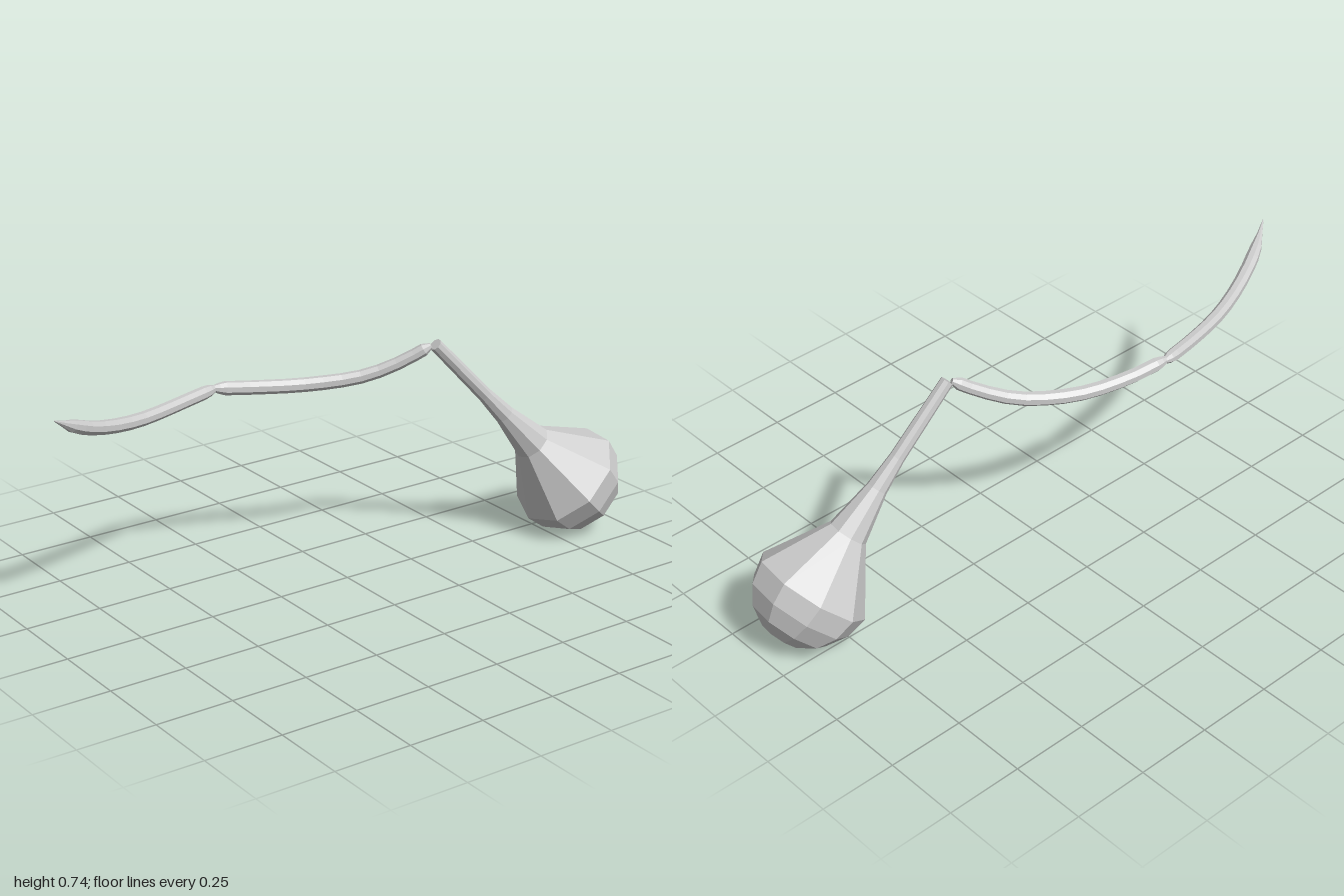
import * as THREE from 'three';

const V = (x, y, z) => new THREE.Vector3(x, y, z);
const material = new THREE.MeshStandardMaterial({ color: 0xcccccc, flatShading: true });

// Skins a row of rings { p: centre, t: tangent, r: radius }; radius 0 closes an end.
function loft(name, rings, sides, ref, twist = 0) {
  const pos = [], idx = [];
  for (const { p, t, r } of rings) {
    const n = ref.clone().addScaledVector(t, -ref.dot(t)).normalize();
    const b = t.clone().cross(n);
    for (let j = 0; j < sides; j++) {
      const a = twist + (j / sides) * Math.PI * 2;
      const q = p.clone().addScaledVector(n, r * Math.cos(a)).addScaledVector(b, r * Math.sin(a));
      pos.push(q.x, q.y, q.z);
    }
  }
  for (let i = 0; i < rings.length - 1; i++) {
    for (let j = 0; j < sides; j++) {
      const k = (j + 1) % sides;
      const a = i * sides + j, b = i * sides + k, c = b + sides, d = a + sides;
      if (rings[i].r > 0) idx.push(a, b, c);
      if (rings[i + 1].r > 0) idx.push(a, c, d);
    }
  }
  const geo = new THREE.BufferGeometry();
  geo.setAttribute('position', new THREE.Float32BufferAttribute(pos, 3));
  geo.setIndex(idx);
  geo.computeVertexNormals();
  const mesh = new THREE.Mesh(geo, material);
  mesh.name = name;
  return mesh;
}

// Curved rod through points, with radii given as [fraction of length, radius]
function rod(name, points, radii, steps) {
  const curve = new THREE.CatmullRomCurve3(points.map((p) => V(...p)));
  const us = radii.map((e) => e[0]);
  for (let i = 1; i < steps; i++) {
    const u = i / steps;
    if (us.every((v) => Math.abs(v - u) > 0.03)) us.push(u);
  }
  us.sort((a, b) => a - b);
  const radiusAt = (u) => {
    const k = Math.max(1, radii.findIndex((e) => e[0] >= u));
    const [u0, r0] = radii[k - 1], [u1, r1] = radii[k];
    return r0 + ((r1 - r0) * (u - u0)) / (u1 - u0);
  };
  const rings = us.map((u) => ({ p: curve.getPointAt(u), t: curve.getTangentAt(u), r: radiusAt(u) }));
  const cap = (ring) => ({ ...ring, r: 0 });
  return loft(name, [cap(rings[0]), ...rings, cap(rings[rings.length - 1])], 8, V(0, 1, 0), Math.PI / 8);
}

export function createModel() {
  const group = new THREE.Group();
  group.name = 'jointedFlail';

  // Club: thin nine-sided handle flaring into a faceted round head
  const top = V(0.031, 0.72, -0.312), head = V(0.08, 0.185, -0.815);
  const axis = head.clone().sub(top);
  const length = axis.length();
  axis.normalize();
  const headRadius = 0.185;
  const profile = [[0, 0], [0, 0.021], [0.27, 0.024], [0.38, 0.033], [0.54, 0.063], [length, headRadius]];
  for (let i = 1; i <= 4; i++) {
    const a = (i / 4) * Math.PI / 2;
    profile.push([length + headRadius * Math.sin(a), i === 4 ? 0 : headRadius * Math.cos(a)]);
  }
  const clubRings = profile.map(([s, r]) => ({ p: top.clone().addScaledVector(axis, s), t: axis, r }));
  group.add(loft('club', clubRings, 9, V(0, -1, 1), THREE.MathUtils.degToRad(5)));

  // Middle rod, pinched at both joints
  group.add(rod('middleRod', [
    [0.025, 0.717, -0.3], [-0.025, 0.665, -0.22], [-0.085, 0.622, -0.12],
    [-0.165, 0.604, 0.04], [-0.215, 0.613, 0.2], [-0.24, 0.63, 0.335],
  ], [[0, 0.009], [0.035, 0.02], [0.5, 0.023], [0.94, 0.022], [0.97, 0.017], [1, 0.009]], 12));

  // Outer rod, ending in a sharp point
  group.add(rod('pointedRod', [
    [-0.242, 0.629, 0.32], [-0.222, 0.621, 0.42], [-0.165, 0.615, 0.64],
    [-0.11, 0.643, 0.8], [-0.06, 0.688, 0.915], [-0.01, 0.737, 1.0],
  ], [[0, 0.009], [0.035, 0.018], [0.07, 0.021], [0.5, 0.022], [0.8, 0.022], [0.86, 0.019], [0.93, 0.009], [1, 0.0015]], 12));

  return group;
}
